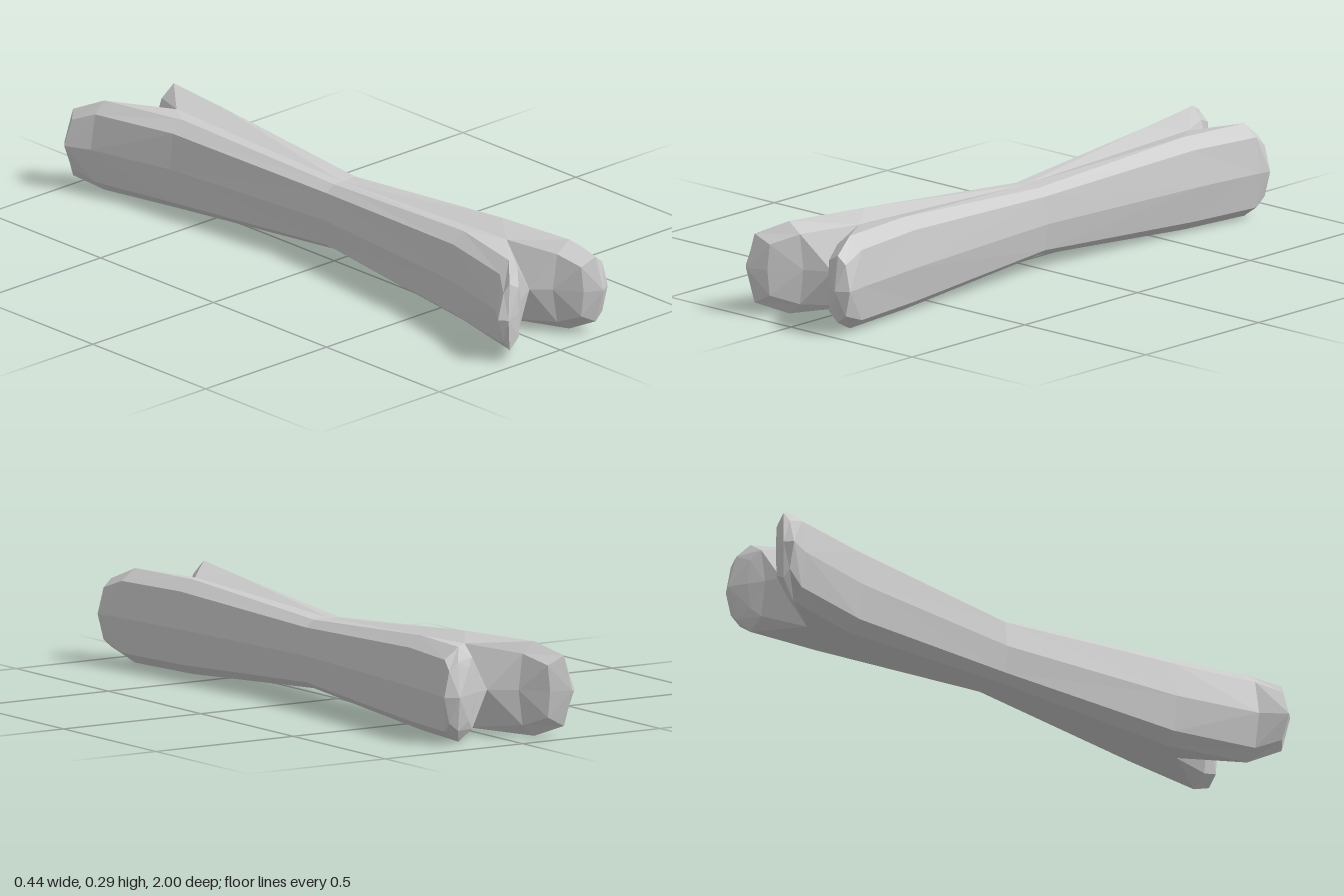
import * as THREE from 'three';

const MID = 0.145; // half the height; every section mirrors about this level

// Each ring holds five points [x, height above mid, z] running
// inner middle, inner upper, crown, outer upper, outer middle.
const LEFT = {
  rings: [
    [[0.03, 0, 0], [0.03, 0.105, 0], [0.088, 0.105, 0], [0.118, 0.084, 0], [0.13, 0, 0]],
    [[0.022, 0, 0.84], [0.03, 0.128, 0.73], [0.113, 0.145, 0.62], [0.158, 0.112, 0.62], [0.177, 0, 0.62]],
    [[0.072, 0, 0.89], [0.09, 0.11, 0.89], [0.14, 0.145, 0.89], [0.19, 0.11, 0.89], [0.206, 0, 0.89]],
    [[0.125, 0, 0.97], [0.122, 0.08, 0.962], [0.17, 0.105, 0.975], [0.2, 0.08, 0.972], [0.22, 0, 0.975]],
  ],
  tip: [0.18, 0, 1],
};
const RIGHT = {
  rings: [
    [[0.03, 0, 0], [0.03, 0.105, 0], [-0.003, 0.105, 0], [-0.033, 0.084, 0], [-0.045, 0, 0]],
    [[0.022, 0, 0.84], [0.03, 0.128, 0.73], [-0.046, 0.145, 0.62], [-0.088, 0.112, 0.62], [-0.102, 0, 0.62]],
    [[-0.056, 0, 0.885], [-0.07, 0.11, 0.885], [-0.11, 0.145, 0.89], [-0.148, 0.11, 0.89], [-0.167, 0, 0.89]],
    [[-0.135, 0, 0.96], [-0.13, 0.08, 0.955], [-0.18, 0.108, 0.968], [-0.195, 0.08, 0.957], [-0.222, 0, 0.962]],
  ],
  tip: [-0.2, 0, 0.985],
};

// One quarter of the bone: half the shaft width, ending in a rounded knuckle.
function quarter(name, side, sx, sz, { dzA = 0, dzB = 0, dxB = 0 } = {}) {
  const dz = [0, 0, dzA, dzB], dx = [0, 0, 0, dxB];
  const place = ([x, h, z], r) => [x + dx[r], MID + h, sz * (z + dz[r])];
  const loops = side.rings.map((ring, r) => {
    const lower = [3, 2, 1].map((i) => [ring[i][0], -ring[i][1], ring[i][2]]);
    return [...ring, ...lower].map((p) => place(p, r));
  });
  const tip = place(side.tip, 3);
  const pos = [];
  const tri = (a, b, c) => pos.push(...a, ...(sx * sz > 0 ? [...b, ...c] : [...c, ...b]));

  for (let r = 0; r < 3; r++) {
    for (let i = 0; i < 8; i++) {
      if (r === 0 && (i === 0 || i === 7)) continue; // halves join here, no wall
      const j = (i + 1) % 8;
      const a = loops[r][i], b = loops[r][j], c = loops[r + 1][j], d = loops[r + 1][i];
      if (i < 4) { tri(a, d, c); tri(a, c, b); }
      else { tri(a, d, b); tri(b, d, c); }
    }
  }
  // faceted cap
  for (let i = 0; i < 8; i++) tri(loops[3][i], tip, loops[3][(i + 1) % 8]);

  const geo = new THREE.BufferGeometry();
  geo.setAttribute('position', new THREE.Float32BufferAttribute(pos, 3));
  geo.computeVertexNormals();
  const mesh = new THREE.Mesh(geo, new THREE.MeshStandardMaterial({ color: 0xcccccc, flatShading: true }));
  mesh.name = name;
  return mesh;
}

export function createModel() {
  const bone = new THREE.Group();
  bone.name = 'bone';
  bone.add(
    quarter('frontLeftKnuckle', LEFT, 1, 1),
    quarter('frontRightKnuckle', RIGHT, -1, 1),
    quarter('backLeftKnuckle', LEFT, 1, -1, { dzA: -0.03, dzB: -0.08, dxB: -0.005 }),
    quarter('backRightKnuckle', RIGHT, -1, -1, { dzA: 0.01, dzB: 0.015, dxB: 0.018 }),
  );
  return bone;
}
